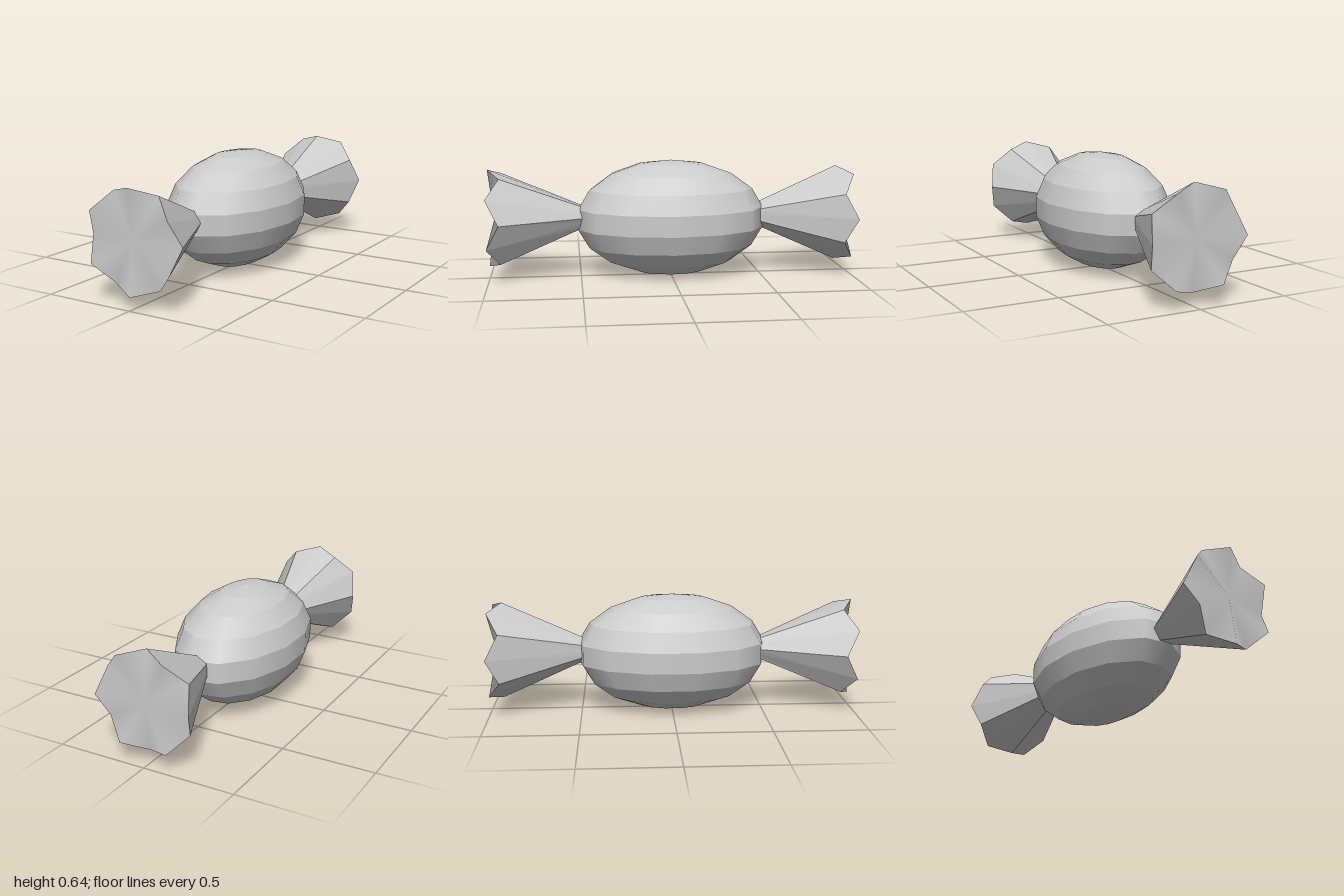
import * as THREE from 'three';
import { mergeGeometries } from 'three/addons/utils/BufferGeometryUtils.js';

const grey = (options = {}) => new THREE.MeshStandardMaterial({ color: 0xcccccc, ...options });

// Ellipsoid of flat-edged bands: each band is its own smooth lathe strip
function candyBody() {
  const bands = 9, strips = [];
  const at = (k) => {
    const a = (k * Math.PI) / bands;
    return new THREE.Vector2(Math.sin(a), -Math.cos(a));
  };
  for (let k = 0; k < bands; k++) {
    strips.push(new THREE.LatheGeometry([at(k), at(k + 1)], 13, Math.PI / 2));
  }
  const geometry = mergeGeometries(strips);
  geometry.scale(0.328, 0.321, 0.526);
  const mesh = new THREE.Mesh(geometry, grey());
  mesh.name = 'candyBody';
  mesh.position.set(-0.005, 0.324, 0);
  return mesh;
}

// Six-sided flared wrapper end with a zigzag rim, opening towards +z
function wrapperEnd(name, phase) {
  const n = 12;
  // even points are the hexagon's corners, odd points the middle of its sides
  const ring = (i, r, z) => {
    const a = phase + (i * Math.PI * 2) / n;
    return [r * Math.cos(a), r * Math.sin(a), z];
  };
  const base = (i) => ring(i, i % 2 ? 0.05 * Math.cos(Math.PI / 6) : 0.05, 0.45);
  const rim = (i) => ring(i, 0.267, i % 2 ? 1 : 0.932);

  const side = [], cap = [0, 0, 0.966], capIndex = [];
  for (let i = 0; i < n; i++) {
    const j = (i + 1) % n;
    side.push(...base(i), ...base(j), ...rim(j), ...base(i), ...rim(j), ...rim(i));
    cap.push(...rim(i));
    capIndex.push(0, i + 1, j + 1);
  }
  const build = (points, index) => {
    const g = new THREE.BufferGeometry();
    g.setAttribute('position', new THREE.Float32BufferAttribute(points, 3));
    if (index) g.setIndex(index);
    g.computeVertexNormals();
    return g;
  };
  const flare = new THREE.Mesh(build(side), grey({ flatShading: true }));
  flare.name = name + 'Flare';
  const end = new THREE.Mesh(build(cap, capIndex), grey());
  end.name = name + 'Cap';

  const group = new THREE.Group();
  group.name = name;
  group.add(flare, end);
  group.position.set(0.003, 0.337, 0);
  return group;
}

export function createModel() {
  const model = new THREE.Group();
  model.name = 'wrappedCandy';
  const front = wrapperEnd('frontWrapper', 0);
  // back end is turned by half a side, so its zigzag is offset
  const back = wrapperEnd('backWrapper', Math.PI / 6);
  back.rotation.y = Math.PI;
  model.add(candyBody(), front, back);
  return model;
}
